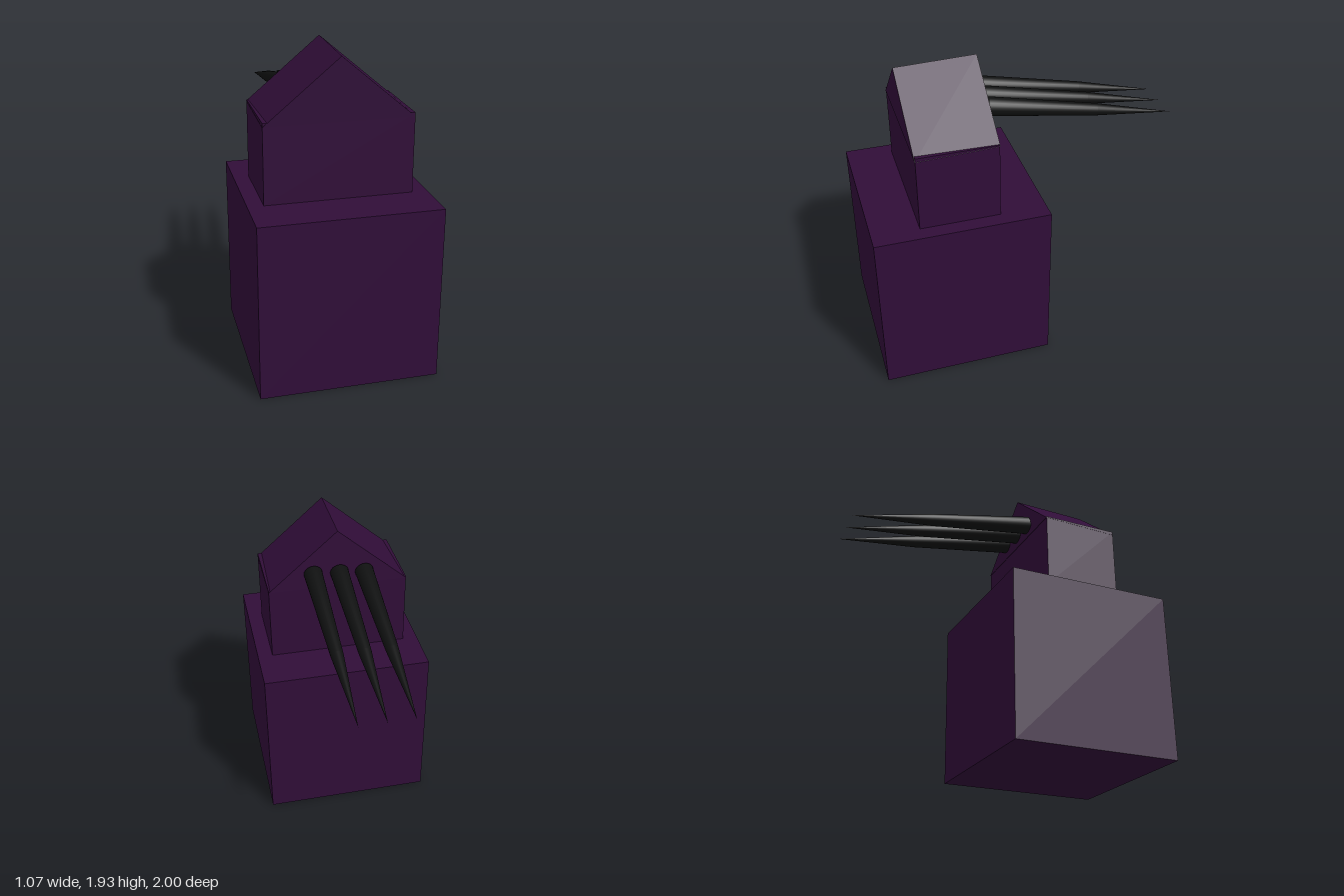
import * as THREE from 'three';

export function createModel() {
  const model = new THREE.Group();
  const purple = new THREE.MeshStandardMaterial({ color: 0x300d38 });
  purple.name = 'dark purple';
  const black = new THREE.MeshStandardMaterial({ color: 0x0f1010 });
  black.name = 'black';

  const add = (name, geometry, material, x, y, z) => {
    const mesh = new THREE.Mesh(geometry, material);
    mesh.name = name;
    mesh.position.set(x, y, z);
    model.add(mesh);
    return mesh;
  };

  // Stacked blocks
  add('body', new THREE.BoxGeometry(1.074, 1.075, 1.075), purple, 0, 0.5375, 0.4625);
  add('head', new THREE.BoxGeometry(0.884, 0.485, 0.494), purple, 0, 1.3175, 0.463);

  // Gabled roof, tipped slightly forward
  const gable = new THREE.Shape([
    new THREE.Vector2(-0.443, 0),
    new THREE.Vector2(0.443, 0),
    new THREE.Vector2(0, 0.376),
  ]);
  const roofGeometry = new THREE.ExtrudeGeometry(gable, { depth: 0.5, bevelEnabled: false });
  roofGeometry.translate(0, 0, -0.25);
  add('roof', roofGeometry, purple, 0, 1.544, 0.463).rotation.x = 0.03;

  // Three tapering spikes sweeping down behind the roof
  const down = new THREE.Vector3(0, 1, 0);
  const spikes = [[0.16, 0.151, 0.01], [-0.006, -0.012, 0], [-0.165, -0.174, -0.01]];
  for (const [rootX, tipX, lift] of spikes) {
    const root = new THREE.Vector3(rootX, 1.652 + lift, 0.21);
    const tip = new THREE.Vector3(tipX, 1.416 + lift * 0.3, -0.998);
    const axis = tip.clone().sub(root);
    const length = axis.length();
    const profile = [[0, 0], [0.058, 0], [0.038, 0.57 * length], [0, length]]
      .map(([r, h]) => new THREE.Vector2(r, h));
    const spike = add('spike', new THREE.LatheGeometry(profile, 24), black, root.x, root.y, root.z);
    spike.quaternion.setFromUnitVectors(down, axis.normalize());
  }
  return model;
}
